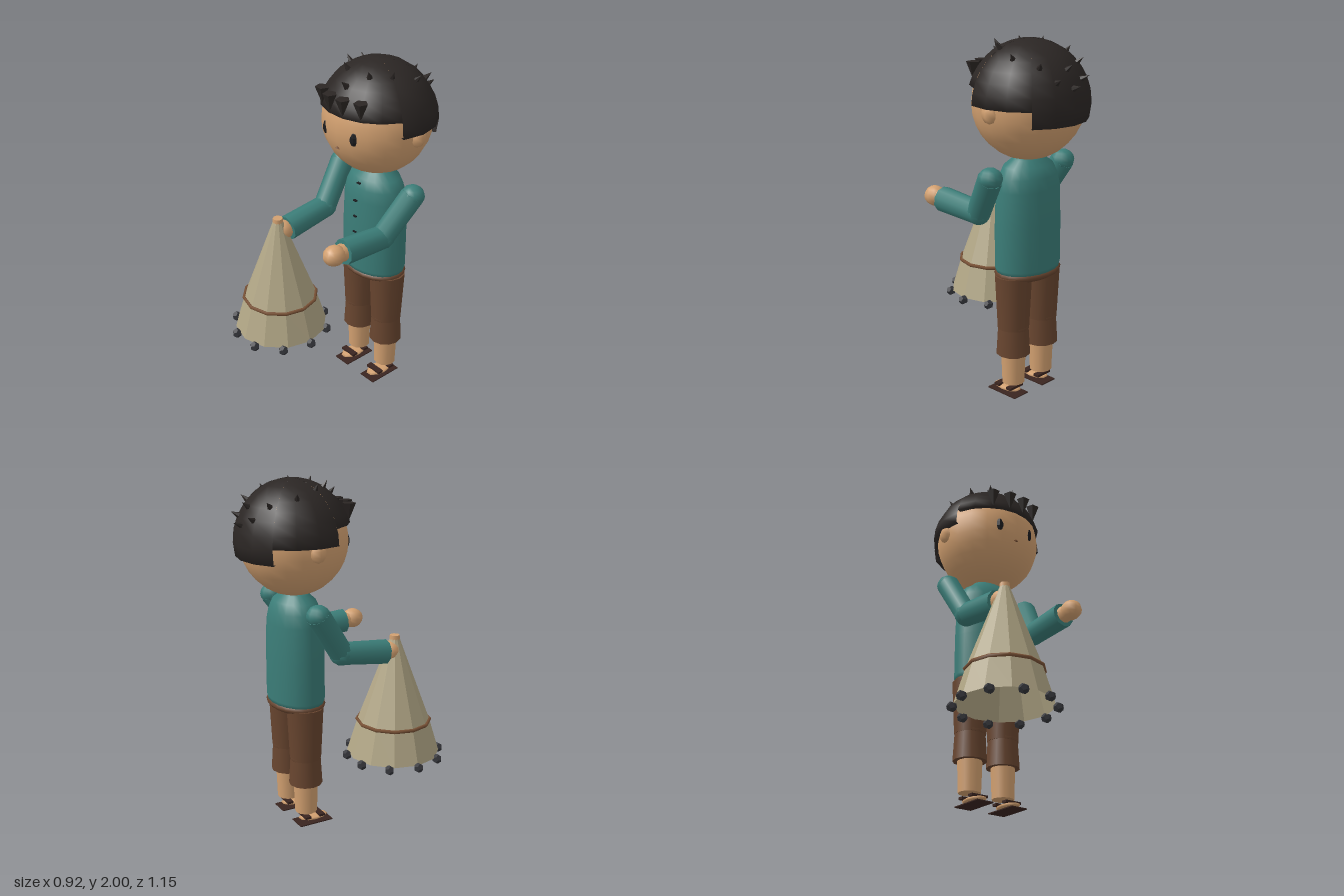
import * as THREE from 'three';

const CX = 0.095, CZ = -0.21; // body axis
const mat = (color, extra = {}) => new THREE.MeshStandardMaterial({ color, ...extra });
const SKIN = mat(0xd2a070), TEAL = mat(0x3b7d78), BROWN = mat(0x68452f);
const HAIR = mat(0x2b2624, { side: THREE.DoubleSide });
const SPIKE = mat(0x2b2624, { flatShading: true });
const DARK = mat(0x1c1c1f, { flatShading: true });
const SOLE = mat(0x3a2520), STRAP = mat(0x7a5236);
const NET = mat(0xb0a585, { flatShading: true, side: THREE.DoubleSide });
const WEIGHT = mat(0x35363b, { flatShading: true });
const V = (x, y, z) => new THREE.Vector3(x, y, z);
const UP = V(0, 1, 0);

export function createModel() {
  const root = new THREE.Group();
  const add = (name, geo, material, x = 0, y = 0, z = 0) => {
    const m = new THREE.Mesh(geo, material);
    m.name = name;
    m.position.set(x, y, z);
    root.add(m);
    return m;
  };
  const ball = (name, material, p, sx, sy, sz, w = 14, h = 10) => {
    const m = add(name, new THREE.SphereGeometry(1, w, h), material, ...p);
    m.scale.set(sx, sy, sz);
    return m;
  };
  // tapered cylinder between two points
  const limb = (name, material, a, b, ra, rb, sides = 12) => {
    const d = b.clone().sub(a);
    const m = add(name, new THREE.CylinderGeometry(rb, ra, d.length(), sides), material);
    m.position.copy(a).addScaledVector(d, 0.5);
    m.quaternion.setFromUnitVectors(UP, d.normalize());
    return m;
  };
  const lathe = (pts, sides, ...rest) =>
    new THREE.LatheGeometry(pts.map(p => new THREE.Vector2(...p)), sides, ...rest);

  // Head and face
  const HY = 1.665;
  ball('head', SKIN, [CX, HY, CZ], 0.31, 0.31, 0.3, 20, 16);
  for (const s of [-1, 1]) {
    ball('eye', DARK, [CX + s * 0.106, 1.65, 0.06], 0.026, 0.042, 0.018, 6, 5);
    ball('ear', SKIN, [CX + s * 0.305, 1.64, CZ - 0.01], 0.032, 0.052, 0.048, 6, 5);
  }
  const mouth = add('mouth', new THREE.ConeGeometry(0.018, 0.014, 4), STRAP, CX, 1.572, 0.076);
  mouth.scale.z = 0.6;

  // Hair cap: sectors with a stepped lower edge
  const R = 0.335, deg = Math.PI / 180;
  const hairSector = (name, from, to, bottom) => {
    const end = Math.acos((bottom - HY) / R), pts = [];
    pts.push([0.29 * Math.sin(end), R * Math.cos(end)]);
    for (let i = 8; i >= 0; i--) {
      const t = end * i / 8;
      pts.push([R * Math.sin(t), R * Math.cos(t)]);
    }
    const n = Math.max(3, Math.round((to - from) / 20));
    const m = add(name, lathe(pts, n, from * deg, (to - from) * deg), HAIR, CX, HY, CZ - 0.005);
    m.scale.z = 0.97;
  };
  hairSector('hairFront', -69, 69, 1.76);
  hairSector('hairLeft', 69, 136, 1.67);
  hairSector('hairBack', 136, 224, 1.58);
  hairSector('hairRight', 224, 291, 1.67);

  // Hair tufts, given by the x offset and z offset of each tip
  const tufts = [[0, -0.355], [0, -0.3], [0, 0.26]];
  for (const s of [-1, 1]) {
    tufts.push([s * 0.11, -0.32], [s * 0.165, -0.235], [s * 0.23, -0.09],
      [s * 0.18, 0.06], [s * 0.095, 0.16]);
  }
  for (const [x, z] of tufts) {
    const dir = V(x, Math.sqrt(0.375 ** 2 - x * x - z * z), z).normalize();
    const m = add('hairTuft', new THREE.ConeGeometry(0.02, 0.055, 6), SPIKE);
    m.position.set(CX, HY, CZ).addScaledVector(dir, 0.347);
    m.quaternion.setFromUnitVectors(UP, dir);
  }
  for (const x of [-0.15, -0.05, 0.05, 0.15]) {
    const z = CZ + Math.sqrt(0.31 ** 2 - x * x) - 0.01;
    const m = add('fringeLock', new THREE.ConeGeometry(0.04, 0.1, 5), SPIKE, CX + x, 1.815, z);
    m.rotation.x = Math.PI;
  }

  // Shirt
  const shirt = add('shirt', lathe([[0, 0.73], [0.2, 0.73], [0.208, 0.76], [0.207, 1.0],
    [0.2, 1.2], [0.183, 1.27], [0.155, 1.325], [0.1, 1.362], [0.09, 1.385], [0, 1.385]], 20),
    TEAL, CX, 0, CZ);
  shirt.scale.z = 0.74;
  for (const y of [1.0, 1.1, 1.2, 1.3])
    add('button', new THREE.BoxGeometry(0.022, 0.007, 0.02), DARK, CX, y, y > 1.25 ? -0.085 : -0.059);
  ball('hips', BROWN, [CX, 0.725, CZ], 0.212, 0.05, 0.157, 20, 10);

  // Legs and sandals
  for (const s of [-1, 1]) {
    const x = CX + s * 0.115;
    limb('thigh', BROWN, V(x, 0.41, CZ), V(x, 0.72, CZ), 0.09, 0.105);
    ball('knee', BROWN, [x, 0.42, CZ], 0.088, 0.06, 0.092, 12, 8);
    limb('trouserCuff', BROWN, V(x, 0.255, CZ), V(x, 0.45, CZ), 0.097, 0.085);
    limb('shin', SKIN, V(x, 0.075, CZ), V(x, 0.27, CZ), 0.064, 0.071);
    add('sandalSole', new THREE.BoxGeometry(0.11, 0.006, 0.21), SOLE, x, 0.003, -0.168);
    ball('foot', SKIN, [x, 0.028, -0.165], 0.052, 0.014, 0.092, 10, 6);
    for (const z of [-0.13, -0.22])
      add('sandalStrap', new THREE.BoxGeometry(0.105, 0.014, 0.035), SOLE, x, 0.043, z);
  }

  // Arms reaching forward
  const arm = (shoulder, elbow, wrist, hand) => {
    ball('shoulder', TEAL, shoulder.toArray(), 0.068, 0.062, 0.068, 10, 8);
    limb('upperArm', TEAL, shoulder, elbow, 0.068, 0.066, 10);
    ball('elbow', TEAL, elbow.toArray(), 0.069, 0.067, 0.069, 10, 8);
    limb('forearm', TEAL, elbow, wrist, 0.066, 0.072, 10);
    limb('wrist', SKIN, wrist, hand, 0.05, 0.045, 10);
    ball('hand', SKIN, hand.toArray(), 0.059, 0.058, 0.066, 10, 8);
  };
  arm(V(0.385, 1.295, CZ), V(0.32, 1.065, -0.055), V(0.315, 1.083, 0.23), V(0.318, 1.09, 0.295));
  arm(V(-0.187, 1.295, CZ), V(-0.165, 1.055, -0.055), V(-0.16, 1.02, 0.23), V(-0.16, 1.02, 0.262));

  // Weighted casting net
  const NX = -0.16, NZ = 0.295;
  add('net', lathe([[0.268, 0.405], [0.209, 0.6], [0.028, 1.09]], 12), NET, NX, 0, NZ);
  add('netTop', new THREE.CylinderGeometry(0.028, 0.03, 0.03, 10), SKIN, NX, 1.095, NZ);
  const band = add('netBand', new THREE.TorusGeometry(0.211, 0.011, 5, 12), STRAP, NX, 0.6, NZ);
  band.rotation.x = Math.PI / 2;
  for (let i = 0; i < 10; i++) {
    const a = i * Math.PI / 5;
    add('netWeight', new THREE.DodecahedronGeometry(0.029), WEIGHT,
      NX + 0.275 * Math.cos(a), 0.395, NZ + 0.275 * Math.sin(a));
  }
  return root;
}
